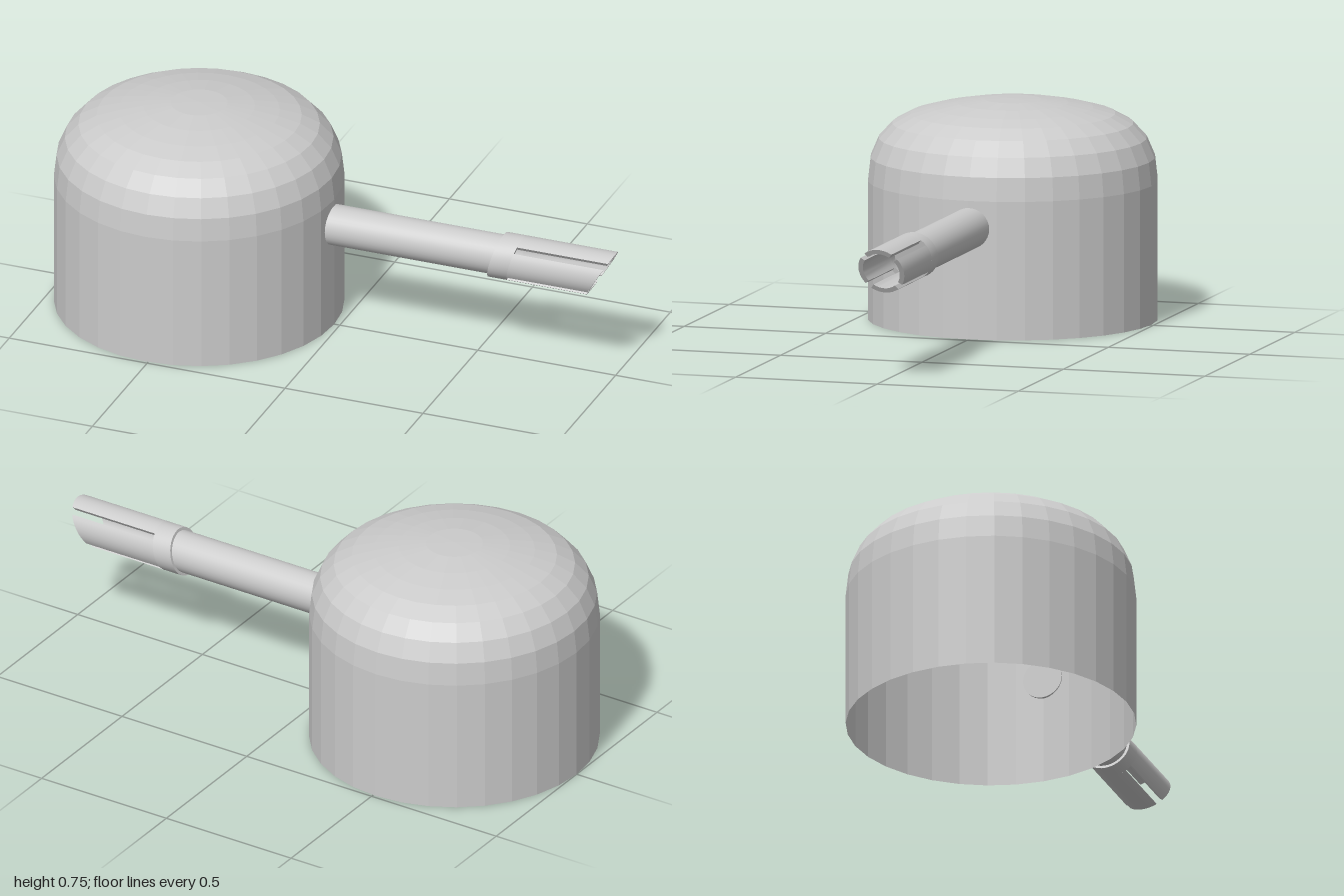
import * as THREE from 'three';
import { toCreasedNormals } from 'three/addons/utils/BufferGeometryUtils.js';

const AXIS_Y = 0.378; // height of the rod's axis
const OUTER = 0.08, INNER = 0.064, ROD = 0.07;

// Slanted cutting planes across the rod: x as a function of height above its axis
const flatStart = () => -0.03;
const sleeveStart = (y) => 0.573 + 0.28 * y;
const slotStart = (y) => 0.643 + 0.28 * y;
const tip = (y) => 0.952 + 0.6 * y;

// Extrudes a cross-section along x between two cutting planes
function between(shape, from, to, curveSegments) {
  let g = new THREE.ExtrudeGeometry(shape, { depth: 1, steps: 1, bevelEnabled: false, curveSegments });
  g.rotateY(Math.PI / 2);
  const p = g.attributes.position;
  for (let i = 0; i < p.count; i++) {
    const y = p.getY(i);
    p.setX(i, THREE.MathUtils.lerp(from(y), to(y), p.getX(i)));
  }
  g = toCreasedNormals(g, Math.PI / 6);
  return g.translate(0, AXIS_Y, 0);
}

function circle(r) {
  return new THREE.Shape().absarc(0, 0, r, 0, Math.PI * 2, false);
}

export function createModel() {
  const group = new THREE.Group();
  const smooth = new THREE.MeshStandardMaterial({ color: 0xcccccc, side: THREE.DoubleSide });
  const faceted = new THREE.MeshStandardMaterial({ color: 0xcccccc, side: THREE.DoubleSide, flatShading: true });
  const add = (name, geometry, material) => {
    const mesh = new THREE.Mesh(geometry, material);
    mesh.name = name;
    group.add(mesh);
    return mesh;
  };

  // Domed body, open underneath
  const profile = [
    [0.49, 0], [0.49, 0.472], [0.481, 0.552], [0.453, 0.617], [0.407, 0.667],
    [0.346, 0.7], [0.272, 0.72], [0.188, 0.736], [0.096, 0.747], [0, 0.75],
  ].map(([r, y]) => new THREE.Vector2(r, y));
  add('domedBody', new THREE.LatheGeometry(profile, 32), faceted).position.x = -0.51;

  // Rod, ending inside the sleeve
  add('rod', between(circle(ROD), flatStart, (y) => sleeveStart(y) + 0.03, 16), smooth);

  // Sleeve collar
  const ring = circle(OUTER);
  ring.holes.push(new THREE.Path().absarc(0, 0, INNER, 0, Math.PI * 2, true));
  add('sleeveCollar', between(ring, sleeveStart, slotStart, 20), smooth);

  // Four prongs separated by diagonal slots, cut off at a slant
  const half = Math.PI / 4 - 0.15;
  for (let i = 0; i < 4; i++) {
    const a = i * Math.PI / 2;
    const sector = new THREE.Shape();
    sector.absarc(0, 0, OUTER, a - half, a + half, false);
    sector.absarc(0, 0, INNER, a + half, a - half, true);
    add('sleeveProng' + (i + 1), between(sector, slotStart, tip, 4), smooth);
  }
  return group;
}
